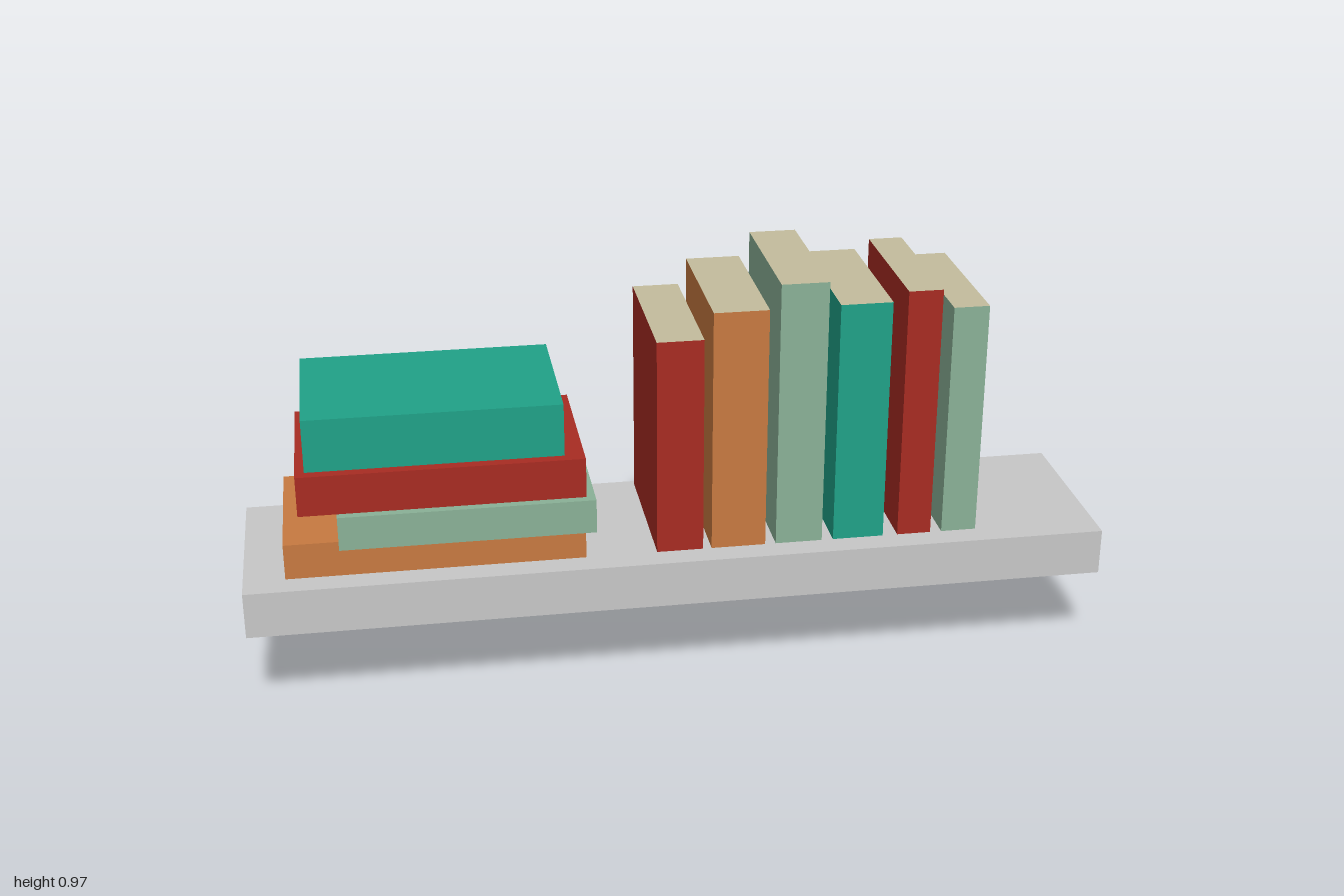
import * as THREE from 'three';

const material = (name, color) => {
  const m = new THREE.MeshStandardMaterial({ color });
  m.name = name;
  return m;
};

export function createModel() {
  const group = new THREE.Group();
  const grey = material('shelfGrey', 0xc9c9c9);
  const maroon = material('shelfEndMaroon', 0x560d0f);
  const pages = material('pages', 0xc5be9e);
  const red = material('redCover', 0xa92c23);
  const orange = material('orangeCover', 0xc97b41);
  const green = material('greenCover', 0x8bb298);
  const teal = material('tealCover', 0x20a389);

  // Box from its limits; mats follow the order +x, -x, +y, -y, +z, -z
  const box = (name, [x0, x1], [y0, y1], [z0, z1], mats) => {
    const mesh = new THREE.Mesh(new THREE.BoxGeometry(x1 - x0, y1 - y0, z1 - z0), mats);
    mesh.position.set((x0 + x1) / 2, (y0 + y1) / 2, (z0 + z1) / 2);
    mesh.name = name;
    group.add(mesh);
  };

  // Shelf board with dark end caps
  box('shelfBoard', [-1, 1], [0.22, 0.33], [-0.225, 0.225], [maroon, maroon, grey, grey, grey, grey]);

  // Wedge brackets: tall at the wall, tapering to the front edge
  const wedge = new THREE.Shape([
    new THREE.Vector2(-0.225, 0.22),
    new THREE.Vector2(0.225, 0),
    new THREE.Vector2(0.225, 0.22),
  ]);
  const bracketGeometry = new THREE.ExtrudeGeometry(wedge, { depth: 0.17, bevelEnabled: false });
  bracketGeometry.rotateY(Math.PI / 2);
  for (const [name, x] of [['rightBracket', -0.725], ['leftBracket', 0.54]]) {
    const bracket = new THREE.Mesh(bracketGeometry, grey);
    bracket.position.x = x;
    bracket.name = name;
    group.add(bracket);
  }

  // Upright books: covers on both sides, spine in front, pages elsewhere
  [
    [-0.055, 0.053, 0.85, red],
    [0.073, 0.2, 0.912, orange],
    [0.225, 0.335, 0.97, green],
    [0.362, 0.482, 0.914, teal],
    [0.517, 0.597, 0.937, red],
    [0.624, 0.707, 0.892, green],
  ].forEach(([x0, x1, top, c], i) =>
    box(`uprightBook${i + 1}`, [x0, x1], [0.33, top], [-0.205, 0.165], [c, c, pages, pages, c, pages]));

  // Stacked books: covers above and below, spine in front, pages elsewhere
  [
    [[-0.905, -0.22], [0.33, 0.415], [-0.205, 0.165], orange],
    [[-0.78, -0.2], [0.415, 0.496], [-0.163, 0.21], green],
    [[-0.866, -0.22], [0.496, 0.591], [-0.184, 0.19], red],
    [[-0.845, -0.265], [0.591, 0.716], [-0.205, 0.165], teal],
  ].forEach(([x, y, z, c], i) =>
    box(`stackedBook${i + 1}`, x, y, z, [pages, pages, c, c, c, pages]));

  return group;
}
